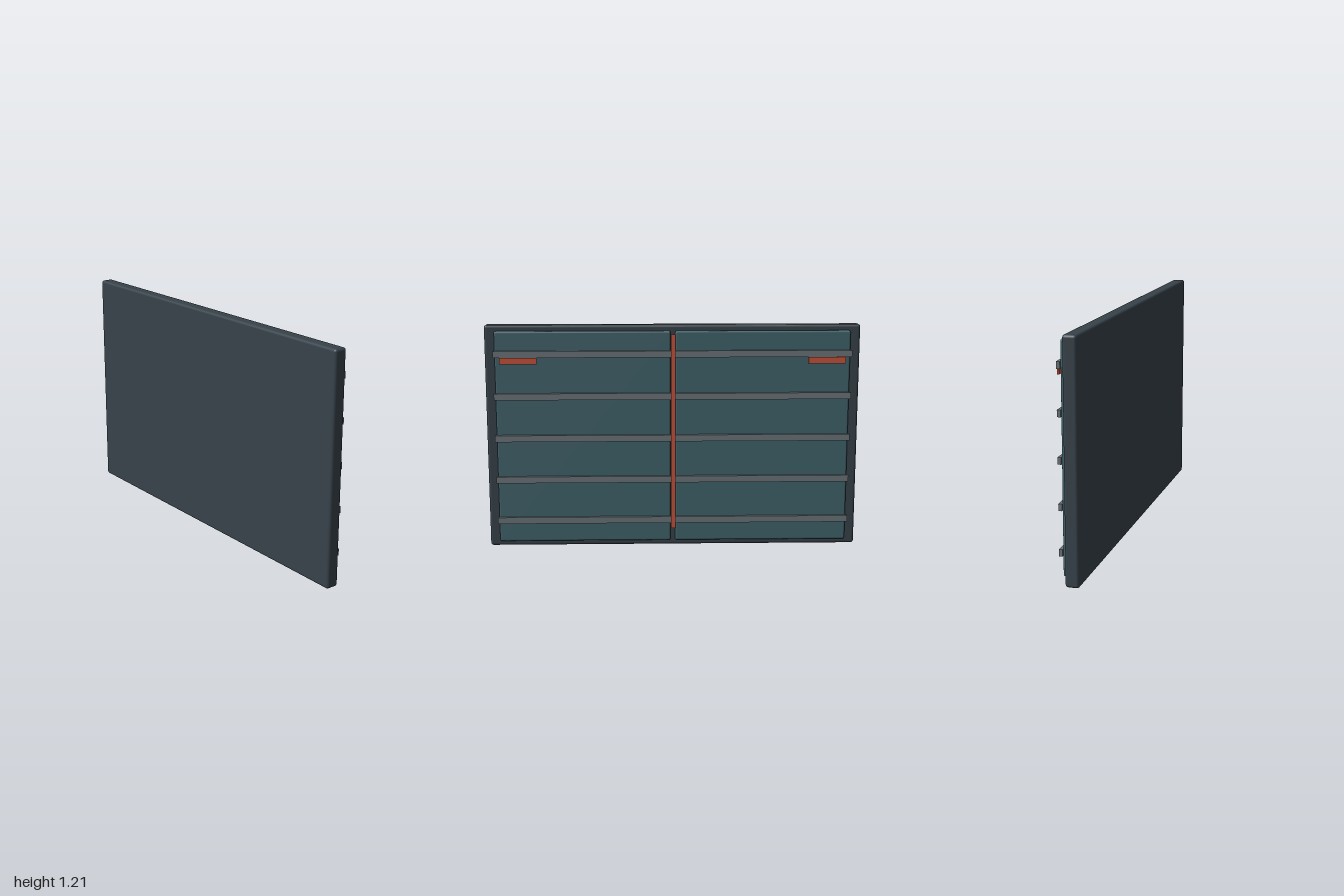
import * as THREE from 'three';
import { RoundedBoxGeometry } from 'three/addons/geometries/RoundedBoxGeometry.js';

const material = (color) => new THREE.MeshStandardMaterial({ color });

export function createModel() {
  const group = new THREE.Group();
  const slate = material(0x37424a);
  const teal = material(0x40626b);
  const grey = material(0x6a7377);
  const red = material(0xc4523a);

  // Adds a block given its extents along each axis; radius > 0 rounds its edges
  function block(name, mat, [x0, x1], [y0, y1], [z0, z1], radius = 0) {
    const size = [x1 - x0, y1 - y0, z1 - z0];
    const geometry = radius
      ? new RoundedBoxGeometry(...size, 3, radius)
      : new THREE.BoxGeometry(...size);
    const mesh = new THREE.Mesh(geometry, mat);
    mesh.name = name;
    mesh.position.set((x0 + x1) / 2, (y0 + y1) / 2, (z0 + z1) / 2);
    group.add(mesh);
  }

  // Main slab
  block('frontSlab', slate, [-1, 1], [0, 1.212], [-0.008, 0.062], 0.014);

  // Two backing panels with a narrow gap between them
  block('leftBackPanel', teal, [0.012, 0.945], [0.032, 1.182], [-0.036, -0.007], 0.01);
  block('rightBackPanel', teal, [-0.945, -0.012], [0.032, 1.182], [-0.036, -0.007], 0.01);

  // Horizontal rails across both panels
  for (let i = 0; i < 5; i++) {
    const y = 0.153 + i * 0.2272;
    block(`rail${i + 1}`, grey, [-0.952, 0.952], [y - 0.0175, y + 0.0175], [-0.053, -0.035]);
  }

  // Central upright strip and the two short tabs under the top rail
  block('centreStrip', red, [-0.012, 0.012], [0.108, 1.167], [-0.0615, -0.053]);
  block('leftTab', red, [0.72, 0.917], [1.01, 1.045], [-0.0615, -0.053]);
  block('rightTab', red, [-0.917, -0.72], [1.01, 1.045], [-0.0615, -0.053]);

  return group;
}
